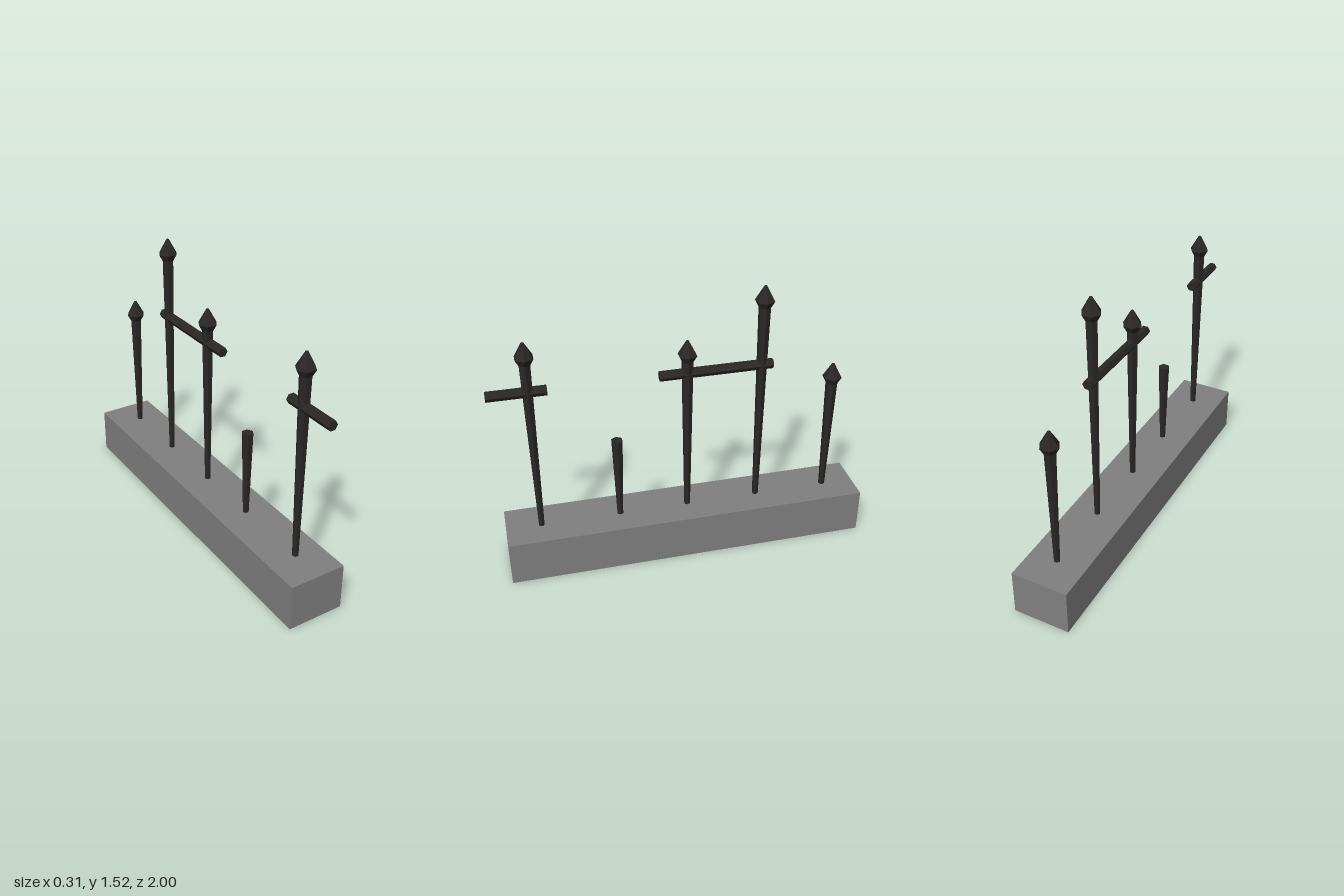
import * as THREE from 'three';

const CENTRE_X = 0.005;
const BASE_TOP = 0.253;

export function createModel() {
  const group = new THREE.Group();
  const stone = new THREE.MeshStandardMaterial({ color: 0x808080, flatShading: true });
  const iron = new THREE.MeshStandardMaterial({ color: 0x2a2725, flatShading: true });

  const add = (name, geometry, material, x, y, z) => {
    const mesh = new THREE.Mesh(geometry, material);
    mesh.name = name;
    mesh.position.set(x, y, z);
    group.add(mesh);
  };

  // Six-sided bar with corners towards +x and -x
  const hexBar = (rTop, rBottom, length) =>
    new THREE.CylinderGeometry(rTop, rBottom, length, 6).rotateY(Math.PI / 6);

  // Stone plinth
  add('base', new THREE.BoxGeometry(0.31, BASE_TOP, 1.985), stone, -0.002, BASE_TOP / 2, -0.0075);

  // Uprights, wider towards the top; the broken one has no spearhead
  const posts = [
    { z: 0.793, top: 1.357 },
    { z: 0.36, top: 0.733, broken: true },
    { z: -0.02, top: 1.27 },
    { z: -0.418, top: 1.525 },
    { z: -0.82, top: 1.037 },
  ];
  for (const { z, top, broken } of posts) {
    const end = broken ? top : top - 0.115;
    const length = end - BASE_TOP;
    add(broken ? 'brokenPost' : 'post', hexBar(0.032, 0.017, length), iron,
      CENTRE_X, BASE_TOP + length / 2, z);
    if (broken) continue;
    // Spearhead: flared collar below a blunt point
    const profile = [[0, -0.12], [0.03, -0.12], [0.052, -0.08], [0.007, 0], [0, 0]]
      .map(([r, y]) => new THREE.Vector2(r, y));
    add('spearhead', new THREE.LatheGeometry(profile, 6).rotateY(Math.PI / 6), iron,
      CENTRE_X, top, z);
  }

  // Remaining pieces of the cross rail
  for (const [z0, z1] of [[0.697, 1], [-0.477, 0.127]]) {
    add('rail', hexBar(0.027, 0.027, z1 - z0).rotateX(Math.PI / 2), iron,
      CENTRE_X, 1.084, (z0 + z1) / 2);
  }
  return group;
}
